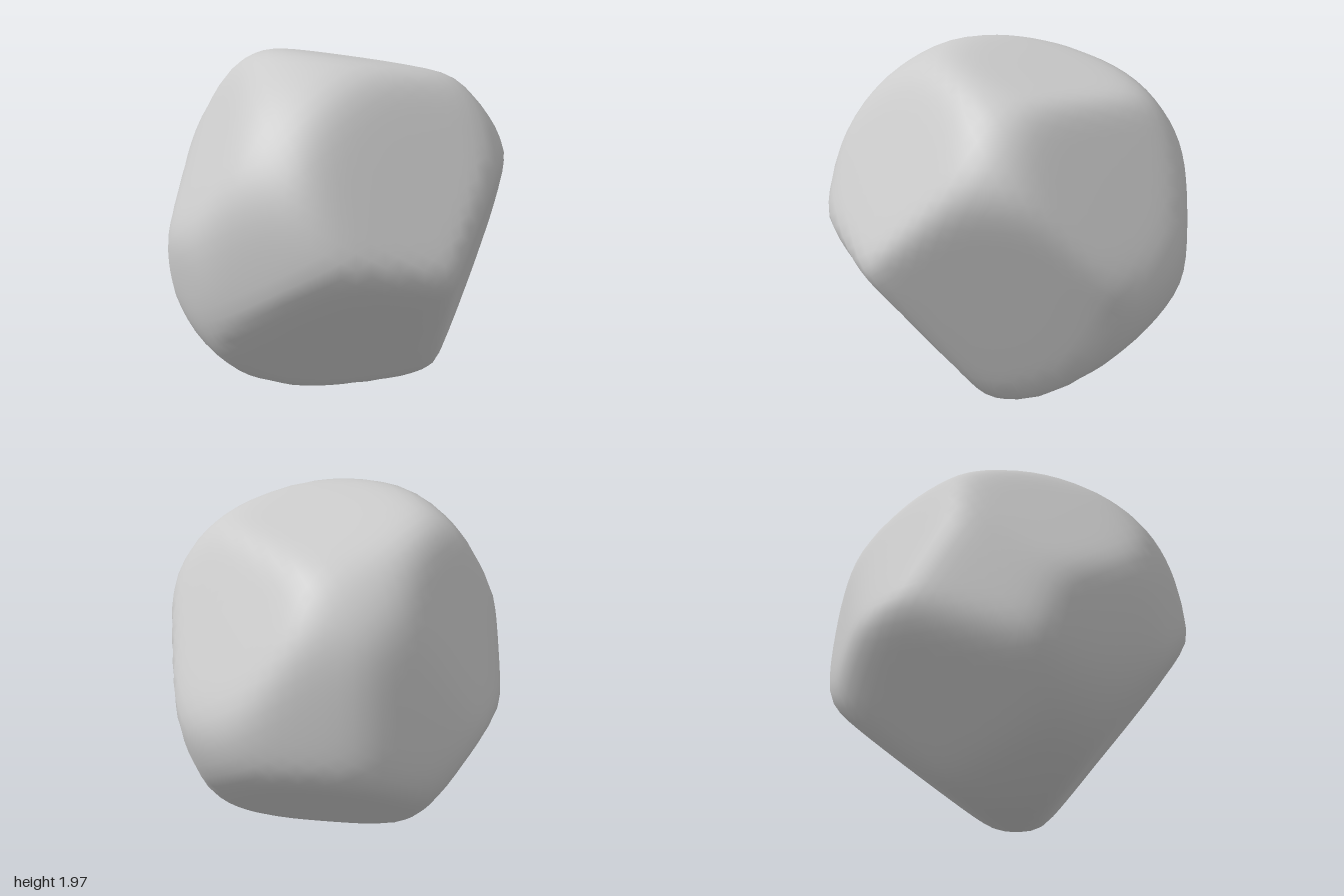
import * as THREE from 'three';
import { mergeVertices } from 'three/addons/utils/BufferGeometryUtils.js';

// Worn flat faces of the boulder: outward direction and distance from its middle
const FACES = [
  [0.968, -0.254, 0.0, 0.785],  // big side face
  [0.63, 0.48, 0.61, 0.875],    // upper front
  [0.35, -0.62, 0.70, 0.78],    // lower front
  [0.0, -0.78, -0.63, 0.86],    // lower back
  [0.59, 0.47, -0.65, 0.88],    // upper back
  [0.08, 0.97, -0.22, 0.90],    // top
  [-0.75, 0.47, 0.46, 0.89],    // upper far side
  [-0.83, -0.53, -0.12, 0.88],  // lower far side
  [-0.85, 0.35, -0.40, 0.89],   // far side towards the back
  [-0.62, 0.10, -0.77, 0.95],   // back corner
  [-1.0, 0.05, 0.12, 0.90],     // slight flats that round off the extremes
  [0.97, 0.25, 0.0, 1.01],
  [-0.7, -0.1, 0.7, 1.0],
  [-0.1, 0.0, 0.99, 1.0],
  [-0.05, 0.05, -0.99, 1.0],
  [0.05, -1.0, 0.0, 1.0],
  [-0.45, -0.88, 0.1, 0.985],
].map(([x, y, z, d]) => ({ n: new THREE.Vector3(x, y, z).normalize(), d }));

const BALL = 1.04;   // radius of the round body between the faces
const SHARP = 32;    // higher gives crisper edges

// Distance to the surface: a soft minimum of the ball and all faces
function radius(dir) {
  let sum = Math.pow(1 / BALL, SHARP);
  for (const { n, d } of FACES) sum += Math.pow(Math.max(0, n.dot(dir)) / d, SHARP);
  return Math.pow(sum, -1 / SHARP);
}

export function createModel() {
  let geo = new THREE.IcosahedronGeometry(1, 14);
  geo.deleteAttribute('uv');
  geo.deleteAttribute('normal');
  geo = mergeVertices(geo, 1e-4);

  // Push every point of the ball to the boulder's surface
  const pos = geo.attributes.position;
  const v = new THREE.Vector3();
  for (let i = 0; i < pos.count; i++) {
    v.fromBufferAttribute(pos, i).normalize();
    v.multiplyScalar(radius(v));
    pos.setXYZ(i, v.x, v.y, v.z);
  }

  // Centre it and stand it on the floor
  geo.center();
  geo.computeBoundingBox();
  geo.translate(0, -geo.boundingBox.min.y, 0);
  geo.computeVertexNormals();

  const boulder = new THREE.Mesh(geo, new THREE.MeshStandardMaterial({ color: 0xcccccc }));
  boulder.name = 'boulder';
  const group = new THREE.Group();
  group.name = 'rock';
  group.add(boulder);
  return group;
}
